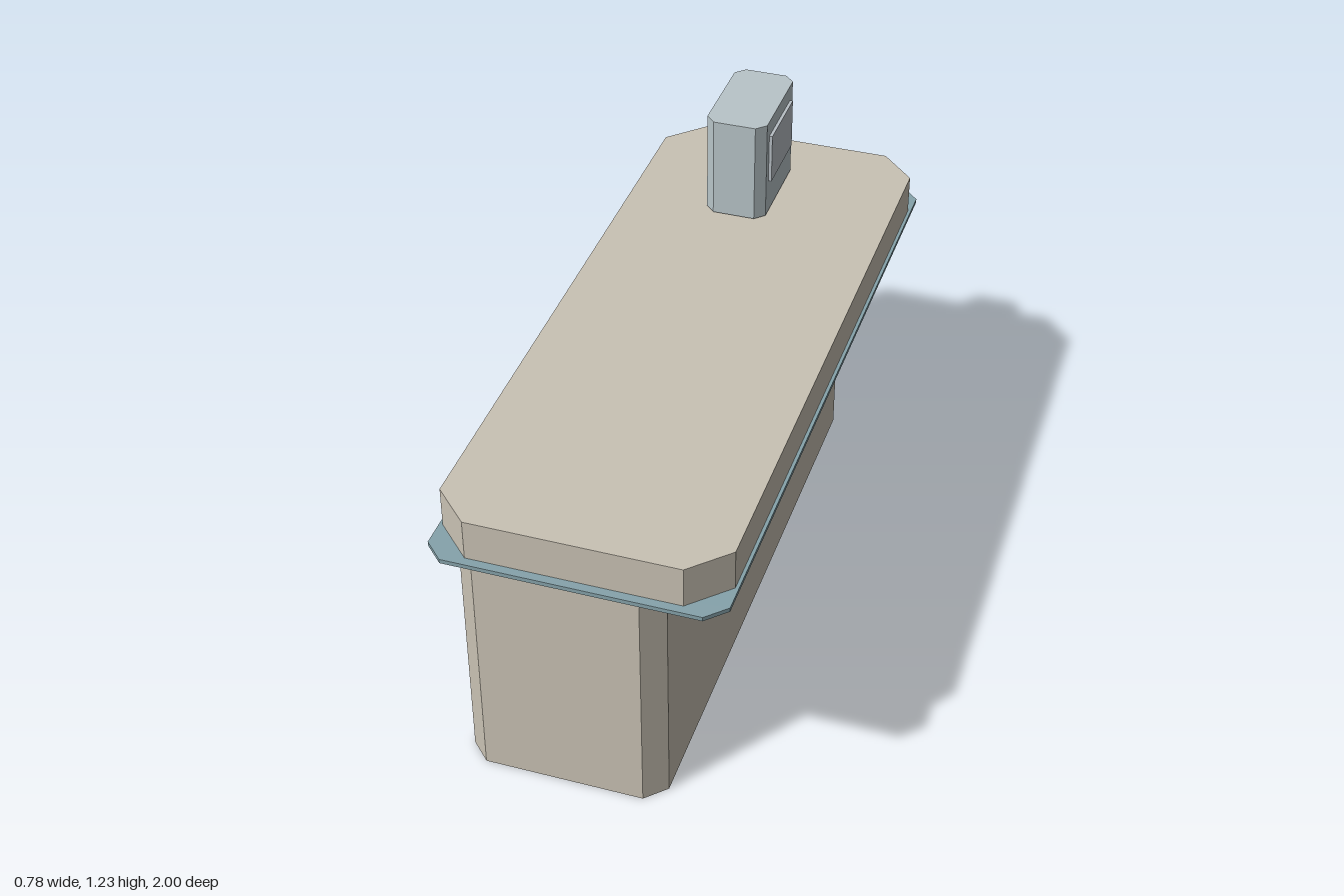
import * as THREE from 'three';

const material = (name, color) => {
  const m = new THREE.MeshStandardMaterial({ color });
  m.name = name;
  return m;
};

// Upright block with its four vertical edges chamfered
function chamferedBlock(name, mat, [x0, x1], [y0, y1], [z0, z1], c) {
  const corners = [
    [x0 + c, -z1], [x1 - c, -z1], [x1, -z1 + c], [x1, -z0 - c],
    [x1 - c, -z0], [x0 + c, -z0], [x0, -z0 - c], [x0, -z1 + c],
  ];
  const shape = new THREE.Shape(corners.map(([x, y]) => new THREE.Vector2(x, y)));
  const geometry = new THREE.ExtrudeGeometry(shape, { depth: y1 - y0, bevelEnabled: false });
  geometry.rotateX(-Math.PI / 2).translate(0, y0, 0);
  const mesh = new THREE.Mesh(geometry, mat);
  mesh.name = name;
  return mesh;
}

function plate(name, mat, [x0, x1], [y0, y1], [z0, z1]) {
  const mesh = new THREE.Mesh(new THREE.BoxGeometry(x1 - x0, y1 - y0, z1 - z0), mat);
  mesh.position.set((x0 + x1) / 2, (y0 + y1) / 2, (z0 + z1) / 2);
  mesh.name = name;
  return mesh;
}

export function createModel() {
  const beige = material('warm beige', 0xc9c2b4);
  const teal = material('dusty teal', 0x86a3ab);
  const paleBlue = material('pale blue grey', 0xb9c5c9);
  const silver = material('silver grey', 0xb9c0c6);

  const counter = new THREE.Group();
  counter.name = 'counter';
  counter.add(
    // Base, overhanging worktop and the band around it
    chamferedBlock('base', beige, [-0.364, 0.191], [0, 0.775], [-0.89, 0.89], 0.055),
    chamferedBlock('worktop', beige, [-0.382, 0.379], [0.775, 0.922], [-0.976, 0.976], 0.099),
    chamferedBlock('trimBand', teal, [-0.392, 0.388], [0.795, 0.807], [-1, 1], 0.052),
    // Side panel with its handle
    chamferedBlock('sidePanel', teal, [0.165, 0.237], [0.44, 0.736], [-0.388, 0.39], 0.012),
    plate('panelHandle', silver, [0.232, 0.253], [0.567, 0.643], [-0.215, 0.219]),
    // Terminal standing just clear of the worktop, screen facing the side
    chamferedBlock('terminal', paleBlue, [-0.143, 0.033], [0.93, 1.228], [-0.826, -0.512], 0.027),
    plate('terminalScreen', silver, [0.028, 0.042], [1.033, 1.181], [-0.772, -0.562]),
  );
  return counter;
}
